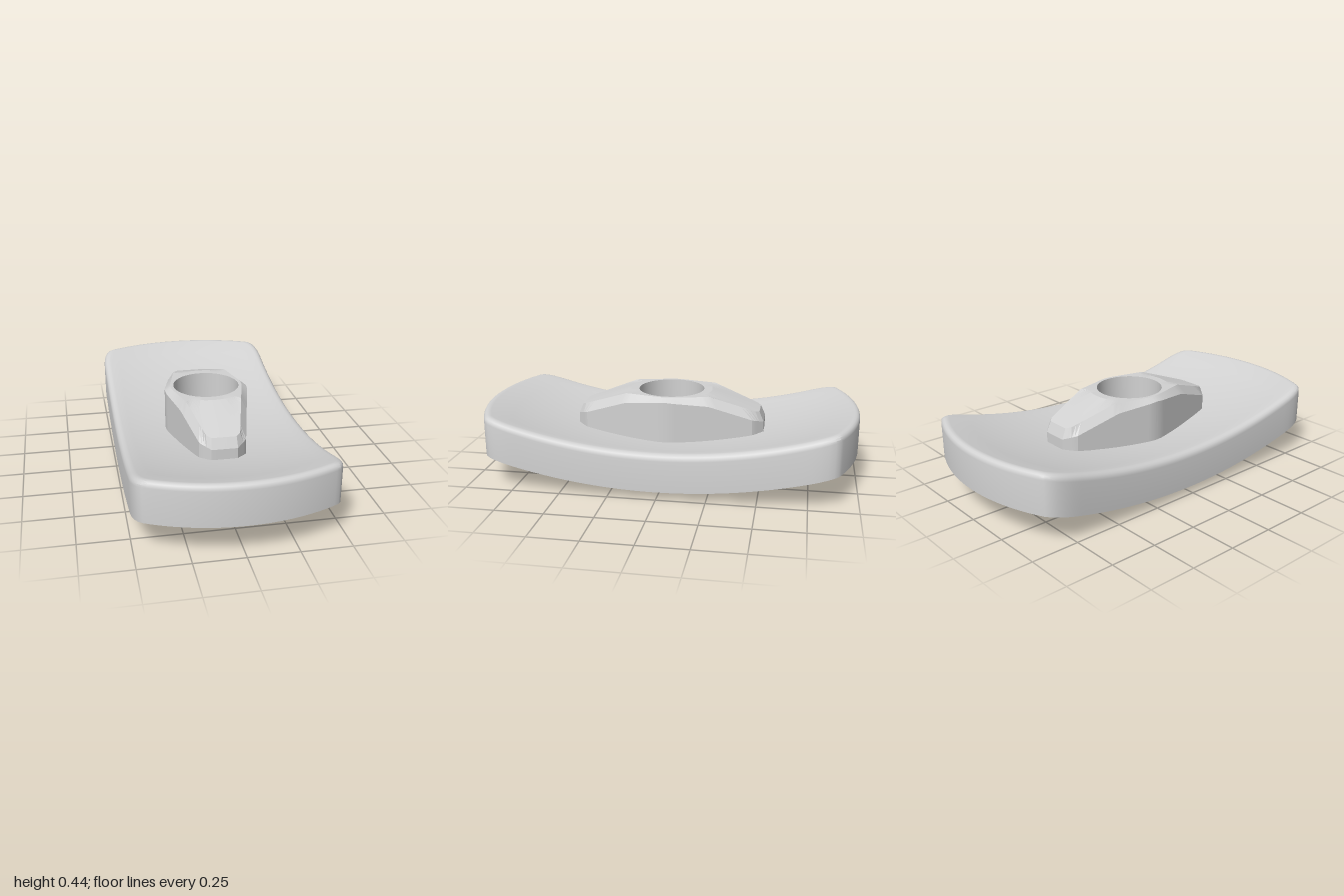
import * as THREE from 'three';
import { toCreasedNormals } from 'three/addons/utils/BufferGeometryUtils.js';

// Dished surfaces: the underside and the seat surface are shallow spherical caps
const cap = (R, y0) => (x, z) => y0 + R - Math.sqrt(R * R - x * x - z * z);
const bottomY = cap(3.1, 0);
const topY = cap(2.8, 0.2);
const RECESS = 0.122;

// Plate outline in polar form: a disc cut by two straight sides, corners rounded, inset by d
function plateRadius(a, d) {
  const line = (0.495 - d) / Math.max(Math.abs(Math.cos(a)), 1e-4);
  const arc = 1 - d;
  const blend = 0.11;
  const h = Math.max(blend - Math.abs(line - arc), 0) / blend;
  return Math.min(line, arc) - h * h * blend / 4;
}

// Hub outline in polar form: a round middle tapering to blunt ends, inset by d
function hubRadius(angle, d) {
  const a = Math.atan2(Math.abs(Math.sin(angle)), Math.abs(Math.cos(angle)));
  const phi = 0.24, r = 0.222 - d;
  if (a < phi) return r;
  return Math.min(r / Math.cos(a - phi), (0.503 - d * 0.8) / Math.sin(a),
    (0.402 - d * 0.6) / Math.cos(a - Math.PI / 4));
}

// Skin closed polar loops; each loop is { r(angle), y(x, z) }
function loft(loops, segments, crease) {
  const pos = [], index = [];
  for (const loop of loops) {
    for (let i = 0; i < segments; i++) {
      const a = (i / segments) * Math.PI * 2, r = loop.r(a);
      const x = r * Math.cos(a), z = r * Math.sin(a);
      pos.push(x, loop.y(x, z), z);
    }
  }
  for (let j = 0; j < loops.length - 1; j++) {
    for (let i = 0; i < segments; i++) {
      const k = (i + 1) % segments;
      const a = j * segments + i, c = j * segments + k;
      const b = a + segments, d = c + segments;
      index.push(a, c, b, c, d, b);
    }
  }
  const g = new THREE.BufferGeometry();
  g.setAttribute('position', new THREE.Float32BufferAttribute(pos, 3));
  g.setIndex(index);
  return toCreasedNormals(g, crease);
}

export function createModel() {
  const group = new THREE.Group();
  const grey = new THREE.MeshStandardMaterial({ color: 0xd2d2d2 });
  grey.name = 'light grey';
  const add = (name, geometry) => {
    const mesh = new THREE.Mesh(geometry, grey);
    mesh.name = name;
    group.add(mesh);
  };

  // Curved plate: seat surface, rounded edge, side wall, rim and recessed underside
  const plate = [];
  const fillet = 0.04;
  for (let i = 0; i <= 7; i++) {
    plate.push({ r: a => THREE.MathUtils.lerp(0.185, plateRadius(a, fillet), i / 7), y: topY });
  }
  for (let i = 1; i <= 5; i++) {
    const t = (i / 5) * Math.PI / 2;
    plate.push({
      r: a => plateRadius(a, fillet * (1 - Math.sin(t))),
      y: (x, z) => topY(x, z) - fillet * (1 - Math.cos(t)),
    });
  }
  plate.push({ r: a => plateRadius(a, 0), y: bottomY });
  plate.push({ r: a => plateRadius(a, 0.05), y: bottomY });
  for (let i = 0; i <= 5; i++) {
    plate.push({
      r: a => THREE.MathUtils.lerp(plateRadius(a, 0.05), 0.2, i / 5),
      y: (x, z) => bottomY(x, z) + RECESS,
    });
  }
  add('plate', loft(plate, 240, 0.5));

  // Tapered hub on top, with chamfered edges and sloping ends
  const hubTop = (x, z) => 0.445 - 0.35 * Math.max(0, Math.abs(z) - 0.22);
  const hubEdge = (x, z) => hubTop(x, z) - 0.02 - 0.025 * Math.min(1, Math.abs(z) / 0.22);
  add('hub', loft([
    { r: () => 0.175, y: () => 0.445 },
    { r: a => Math.min(0.22, hubRadius(a, 0.03)), y: () => 0.445 },
    { r: a => hubRadius(a, 0.03), y: hubTop },
    { r: a => hubRadius(a, 0), y: hubEdge },
    { r: a => hubRadius(a, 0), y: (x, z) => topY(x, z) - 0.02 },
  ], 240, 0.3));

  // Stepped bore and the round boss under the plate, countersunk from below
  const profile = [
    [0.175, 0.445], [0.175, 0.12], [0.11, 0.12], [0.11, 0.035],
    [0.165, 0], [0.222, 0.004], [0.222, 0.17],
  ].map(([r, y]) => new THREE.Vector2(r, y));
  add('boss', toCreasedNormals(new THREE.LatheGeometry(profile, 64), 0.5));

  // Stiffening ribs bent to follow the underside
  const rib = (name, x0, x1, z0, z1) => {
    const w = x1 - x0, d = z1 - z0;
    const g = new THREE.BoxGeometry(w, 1, d, w > d ? 12 : 1, 1, d > w ? 12 : 1);
    g.translate((x0 + x1) / 2, 0, (z0 + z1) / 2);
    const p = g.attributes.position;
    for (let i = 0; i < p.count; i++) {
      const lift = p.getY(i) > 0 ? RECESS + 0.01 : 0;
      p.setY(i, bottomY(p.getX(i), p.getZ(i)) + lift);
    }
    add(name, toCreasedNormals(g, 0.5));
  };
  const t = 0.025;
  for (const s of [-1, 1]) {
    rib('longRib', -t, t, s > 0 ? 0.2 : -0.96, s > 0 ? 0.96 : -0.2);
    rib('middleRib', s > 0 ? 0.2 : -0.46, s > 0 ? 0.46 : -0.2, -t, t);
    rib('crossRib', -0.46, 0.46, s * 0.5 - t, s * 0.5 + t);
  }
  return group;
}
